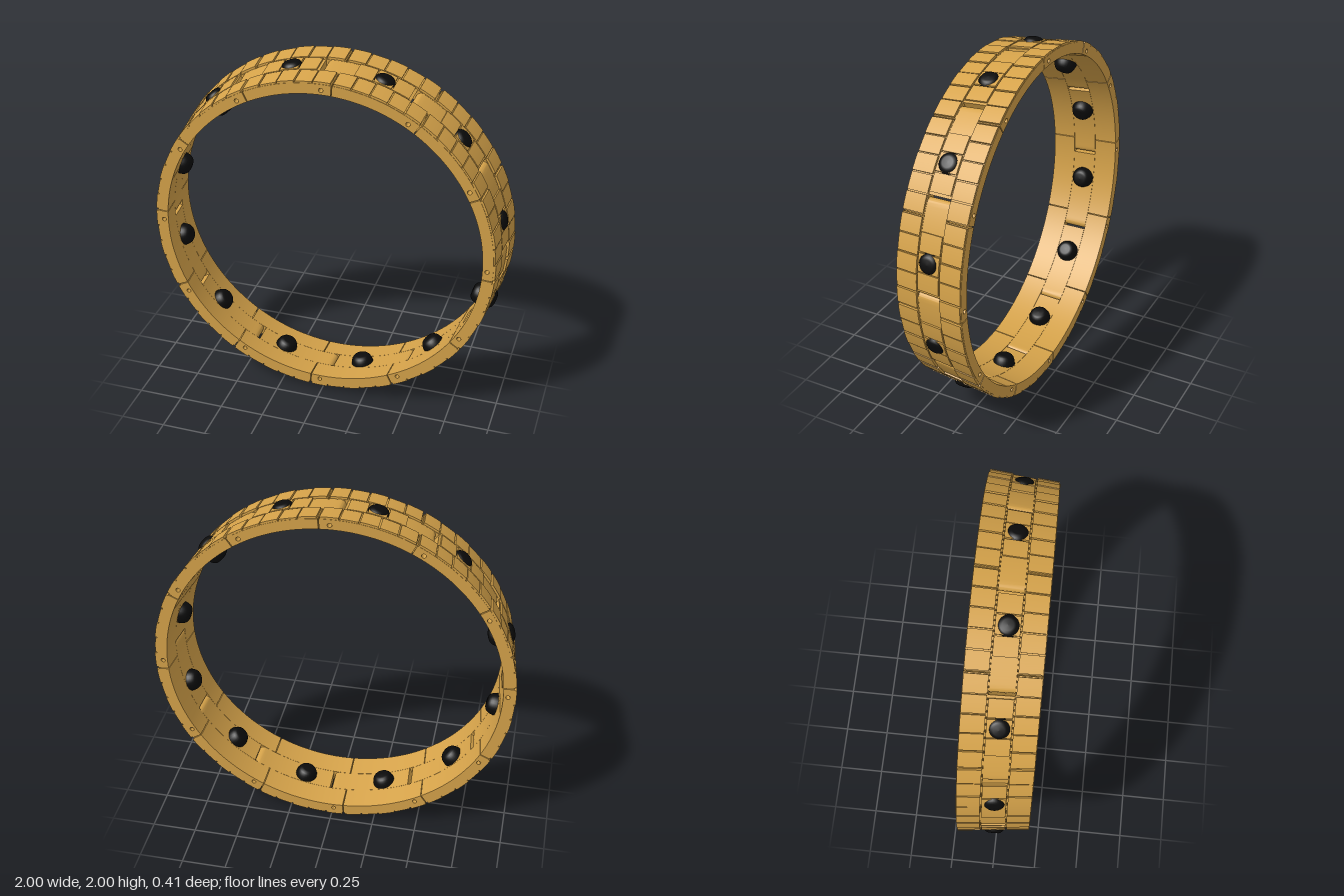
import * as THREE from 'three';
import { toCreasedNormals } from 'three/addons/utils/BufferGeometryUtils.js';

const gold = new THREE.MeshStandardMaterial({ color: 0xd6a34a });
gold.name = 'gold';
const black = new THREE.MeshStandardMaterial({ color: 0x0b0b0b });
black.name = 'black';

const LINKS = 12, STEP = 30, START = -4;   // degrees
const R_IN = 0.91, R_OUT = 0.968, R_TILE = 0.98, R_PIN = 0.935;
const HALF = 0.193, MID = 0.066;           // half widths of band and centre row
const TAPER = 0.1;                         // the band is wider at the back
const rad = THREE.MathUtils.degToRad;

// Arc-shaped outline between two angles; optionally ends in a round hinge knuckle
function arcShape(a0, a1, rIn, rOut, knuckle = false) {
  const shape = new THREE.Shape();
  shape.absarc(0, 0, rOut, rad(a0), rad(a1), false);
  if (knuckle) {
    const r = (rOut - rIn) / 2, m = (rOut + rIn) / 2, a = rad(a1);
    shape.absarc(m * Math.cos(a), m * Math.sin(a), r, a, a + Math.PI, false);
  }
  shape.absarc(0, 0, rIn, rad(a1), rad(a0), true);
  return shape;
}

// Extrude along z, then taper the radius with depth
function band(shape, z0, z1, segments) {
  const geo = new THREE.ExtrudeGeometry(shape, { depth: z1 - z0, bevelEnabled: false, curveSegments: segments });
  geo.translate(0, 0, z0);
  const p = geo.attributes.position;
  for (let i = 0; i < p.count; i++) {
    const x = p.getX(i), y = p.getY(i), r = Math.hypot(x, y);
    const k = (r - TAPER * p.getZ(i)) / r;
    p.setXY(i, x * k, y * k);
  }
  geo.computeVertexNormals();
  return toCreasedNormals(geo, 0.45);
}

function add(parent, name, geo, material) {
  const mesh = new THREE.Mesh(geo, material);
  mesh.name = name;
  parent.add(mesh);
  return mesh;
}

export function createModel() {
  const model = new THREE.Group();
  model.name = 'bracelet';

  // Link plates: two outer rails with pin holes and a centre strip with a hinge tab
  const railShape = arcShape(0.15, STEP - 0.15, R_IN, R_OUT);
  const hole = new THREE.Path();
  hole.absarc(R_PIN * Math.cos(rad(3.4)), R_PIN * Math.sin(rad(3.4)), 0.012, 0, Math.PI * 2, true);
  railShape.holes.push(hole);
  const rails = [band(railShape, MID, HALF, 14), band(railShape, -HALF, -MID, 14)];
  const centre = band(arcShape(6.3, STEP + 4, R_IN, R_OUT, true), -MID + 0.001, MID - 0.001, 14);

  // Raised tiles: [row start z, row end z, first angle, last angle, count]
  const rows = [
    [MID + 0.004, HALF - 0.002, 0.3, STEP - 0.3, 5],
    [-MID + 0.004, MID - 0.004, 7, STEP - 4.5, 3],
    [-HALF + 0.002, -MID - 0.004, 0.3, STEP - 0.3, 5],
  ];
  const tiles = [];
  rows.forEach(([z0, z1, a0, a1, n], row) => {
    for (let i = 0; i < n; i++) {
      const w = (a1 - a0) / n, lift = 0.003 * ((i + row) % 2);
      tiles.push(band(arcShape(a0 + i * w + 0.2, a0 + (i + 1) * w - 0.2, R_OUT - 0.004, R_TILE - lift), z0, z1, 4));
    }
  });

  // Bead: blunt rounded stud showing on both the outside and the inside
  const profile = [];
  for (let i = 0; i <= 16; i++) {
    const t = -Math.PI / 2 + (Math.PI * i) / 16;
    const c = i === 0 || i === 16 ? 0 : Math.cos(t);
    profile.push(new THREE.Vector2(0.064 * Math.pow(c, 0.5), 0.07 * Math.sin(t)));
  }
  const beadGeo = new THREE.LatheGeometry(profile, 28);

  for (let k = 0; k < LINKS; k++) {
    const link = new THREE.Group();
    link.name = 'link';
    link.rotation.z = rad(START + k * STEP);
    rails.forEach((g) => add(link, 'linkRail', g, gold));
    add(link, 'hingeTab', centre, gold);
    tiles.forEach((g) => add(link, 'tile', g, gold));
    const bead = add(link, 'bead', beadGeo, black);
    const a = rad(16.3);
    bead.position.set(0.926 * Math.cos(a), 0.926 * Math.sin(a), 0);
    bead.rotation.z = a - Math.PI / 2;
    model.add(link);
  }

  // The band leans very slightly
  model.position.y = 1;
  model.rotation.set(0.01, 0.01, 0);
  const root = new THREE.Group();
  root.add(model);
  return root;
}
